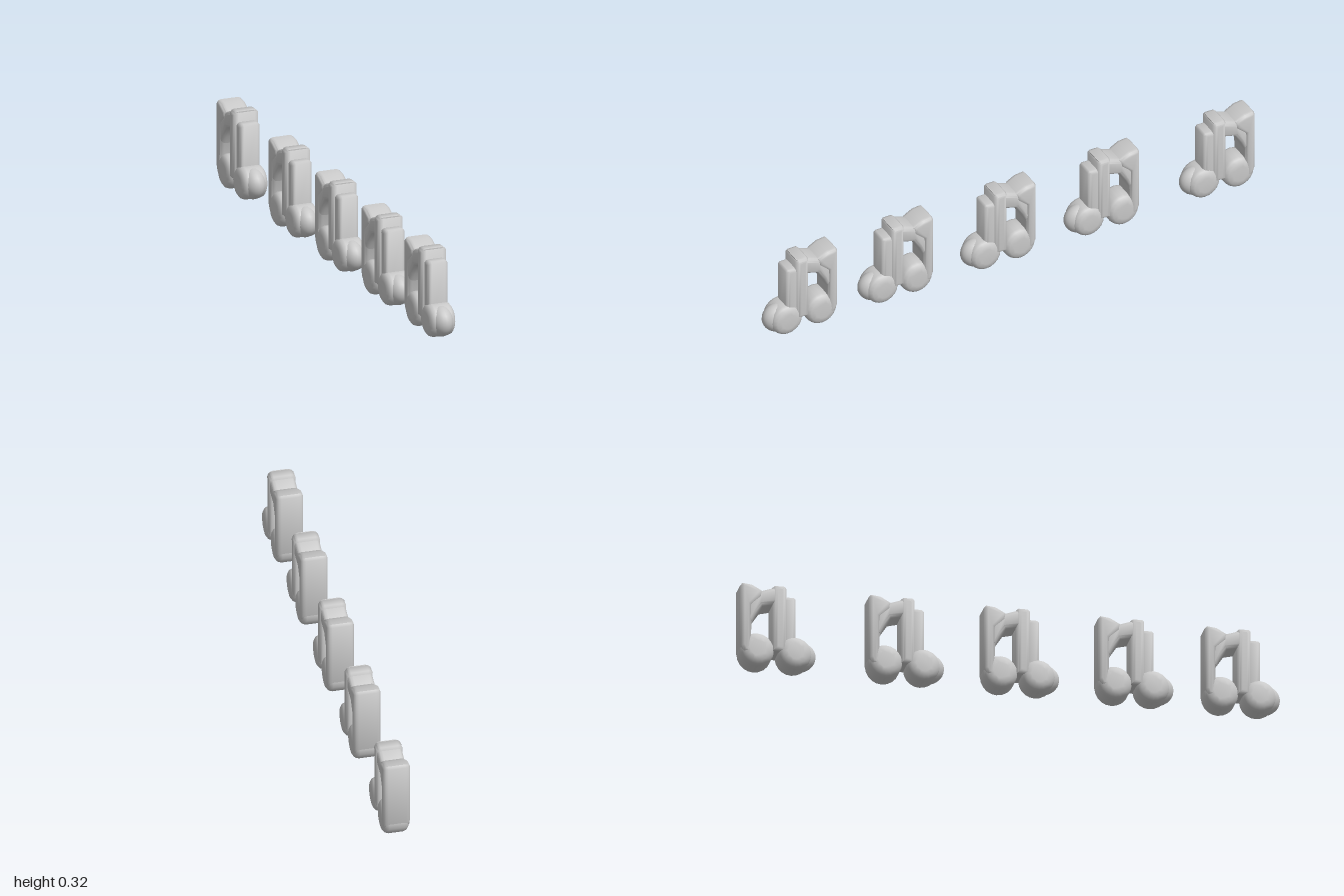
import * as THREE from 'three';
import { toCreasedNormals } from 'three/addons/utils/BufferGeometryUtils.js';

// Extruded [z, y] outline, puffed at its rims and centred on x = 0
function puffy(outline, halfWidth, bevel, rim = bevel) {
  const shape = new THREE.Shape(outline.map(([z, y]) => new THREE.Vector2(z, y)));
  const g = new THREE.ExtrudeGeometry(shape, {
    depth: 2 * (halfWidth - rim),
    bevelEnabled: true,
    bevelThickness: rim,
    bevelSize: bevel,
    bevelOffset: -bevel,
    bevelSegments: 3,
    curveSegments: 8
  });
  g.translate(0, 0, rim - halfWidth);
  g.rotateY(-Math.PI / 2);
  return toCreasedNormals(g, 0.9);
}

function ellipse(cz, cy, rz, ry, n = 20) {
  return Array.from({ length: n }, (_, i) => {
    const a = (i / n) * Math.PI * 2;
    return [cz + rz * Math.cos(a), cy + ry * Math.sin(a)];
  });
}

// Stem outline with softened top corners
function post(z0, z1, y0, y1, c = 0.008) {
  return [[z0, y0], [z1, y0], [z1, y1 - c], [z1 - c, y1], [z0 + c, y1], [z0, y1 - c]];
}

export function createModel() {
  const grey = new THREE.MeshStandardMaterial({ color: 0xc8c8c8 });
  grey.name = 'light grey';

  const frontLobe = new THREE.SphereGeometry(1, 24, 16);
  frontLobe.scale(0.045, 0.058, 0.066);
  frontLobe.rotateX(-0.2);
  frontLobe.translate(0, 0.063, 0.077);

  const parts = {
    // Front note
    frontHead: puffy(ellipse(0.06, 0.064, 0.062, 0.062), 0.05, 0.03, 0.022),
    frontHeadLobe: frontLobe,
    frontStem: puffy(post(0.012, 0.064, 0.06, 0.284), 0.04, 0.016, 0.014),
    innerStem: puffy(post(-0.024, 0.028, 0.06, 0.322), 0.05, 0.018),
    // Back note, its stem leaning into the beam at the top
    backHead: puffy(ellipse(-0.08, 0.065, 0.063, 0.064), 0.05, 0.03, 0.022),
    backStem: puffy([
      [-0.135, 0.322], [-0.1, 0.318], [-0.062, 0.297], [-0.062, 0.27],
      [-0.1, 0.235], [-0.103, 0.04], [-0.132, 0.045], [-0.143, 0.07], [-0.143, 0.312]
    ], 0.05, 0.014, 0.018),
    // Beam curling down to the back stem
    beam: puffy([
      [0.024, 0.322], [-0.02, 0.314], [-0.07, 0.296], [-0.108, 0.262], [-0.124, 0.21],
      [-0.118, 0.172], [-0.1, 0.165], [-0.086, 0.195], [-0.06, 0.235], [-0.015, 0.247], [0.024, 0.247]
    ], 0.046, 0.014, 0.018)
  };

  const model = new THREE.Group();
  model.name = 'rowOfNotes';
  [0.857, 0.464, 0.042, -0.383, -0.857].forEach((z, i) => {
    const note = new THREE.Group();
    note.name = `beamedNote${i + 1}`;
    for (const [name, geometry] of Object.entries(parts)) {
      const mesh = new THREE.Mesh(geometry, grey);
      mesh.name = name;
      note.add(mesh);
    }
    note.position.z = z;
    model.add(note);
  });
  return model;
}
